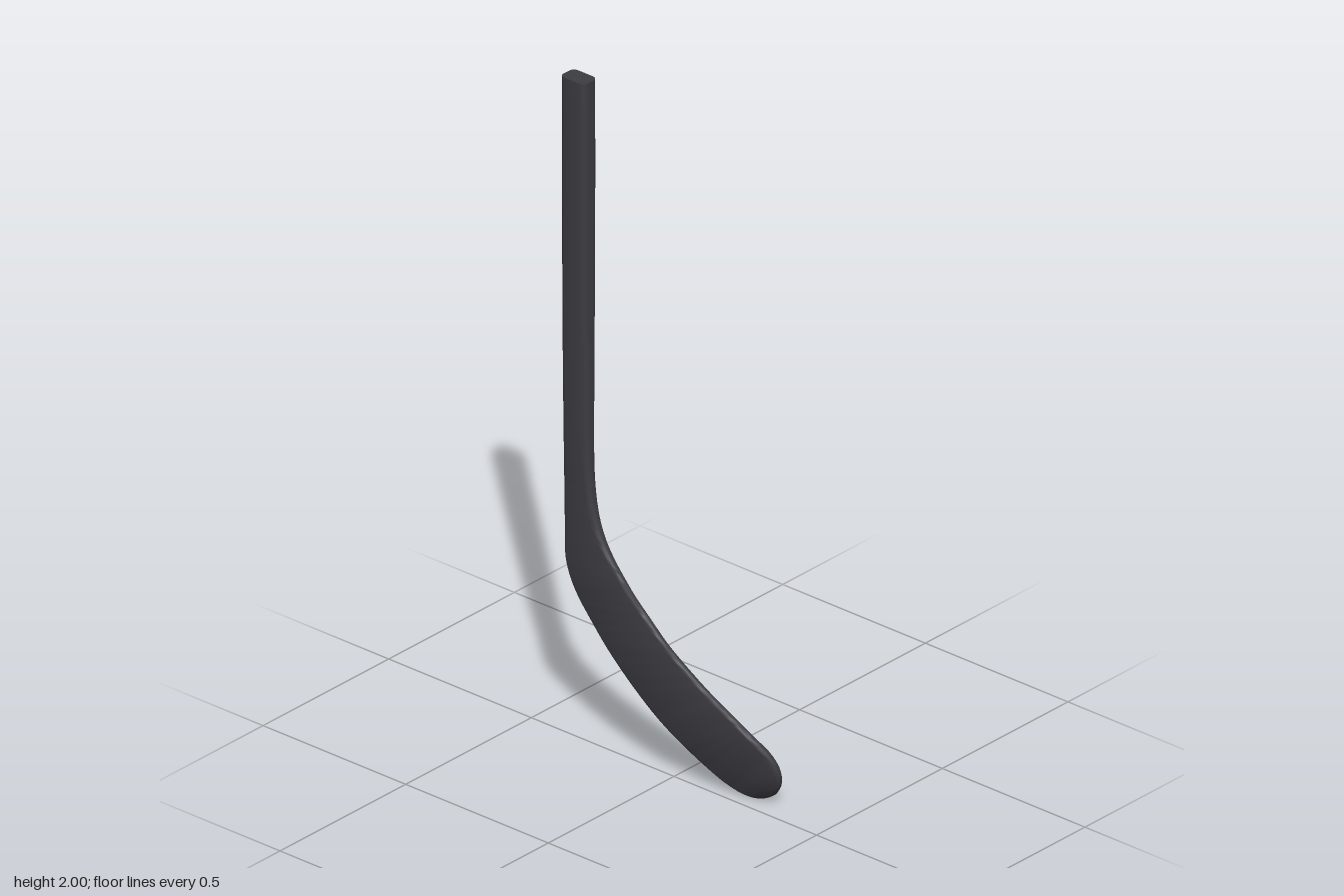
import * as THREE from 'three';
import { toCreasedNormals } from 'three/addons/utils/BufferGeometryUtils.js';

// Stations from the butt end to the toe: [heel edge x, y, z], [inner edge x, y, z], thickness
const stations = [
  [[-0.33, 2, 0.053], [-0.245, 2, 0.053], 0.055],
  [[-0.33, 1.6, 0.053], [-0.245, 1.6, 0.053], 0.055],
  [[-0.33, 1.2, 0.053], [-0.245, 1.2, 0.053], 0.05],
  [[-0.33, 0.92, 0.053], [-0.243, 0.92, 0.053], 0.042],
  [[-0.33, 0.79, 0.053], [-0.236, 0.8, 0.053], 0.037],
  [[-0.33, 0.68, 0.053], [-0.22, 0.712, 0.053], 0.033],
  [[-0.33, 0.61, 0.053], [-0.196, 0.65, 0.053], 0.029],
  [[-0.328, 0.56, 0.053], [-0.165, 0.602, 0.053], 0.026],
  [[-0.313, 0.51, 0.053], [-0.13, 0.56, 0.053], 0.024],
  [[-0.285, 0.46, 0.053], [-0.09, 0.515, 0.052], 0.023],
  [[-0.24, 0.402, 0.052], [-0.04, 0.465, 0.048], 0.022],
  [[-0.18, 0.333, 0.051], [0.02, 0.406, 0.043], 0.022],
  [[-0.1, 0.25, 0.044], [0.09, 0.345, 0.031], 0.022],
  [[-0.02, 0.172, 0.03], [0.16, 0.288, 0.017], 0.022],
  [[0.06, 0.102, 0.006], [0.22, 0.24, 0.001], 0.023],
  [[0.13, 0.046, -0.019], [0.27, 0.197, -0.014], 0.024],
  [[0.165, 0.022, -0.033], [0.304, 0.162, -0.03], 0.025],
  [[0.2, 0.006, -0.045], [0.325, 0.125, -0.042], 0.026],
  [[0.235, 0, -0.057], [0.33, 0.09, -0.051], 0.025],
  [[0.27, 0.009, -0.066], [0.323, 0.06, -0.059], 0.022],
  [[0.296, 0.024, -0.067], [0.31, 0.038, -0.064], 0.014],
];
const LAST = stations.length - 1;
const STEPS = 4; // rings per station
const spline = (pts) => new THREE.CatmullRomCurve3(pts, false, 'catmullrom');
const heelEdge = spline(stations.map((s) => new THREE.Vector3(...s[0])));
const innerEdge = spline(stations.map((s) => new THREE.Vector3(...s[1])));
const thickness = spline(stations.map((s) => new THREE.Vector3(s[2], 0, 0)));
const middle = (u) => heelEdge.getPoint(u).lerp(innerEdge.getPoint(u), 0.5);

// Rounded-rectangle cross-section at u, counter-clockwise about the direction of travel
function section(u) {
  const centre = middle(u);
  const across = innerEdge.getPoint(u).sub(heelEdge.getPoint(u));
  const width = across.length();
  across.normalize();
  const along = middle(Math.min(u + 0.004, 1)).sub(middle(Math.max(u - 0.004, 0)));
  const normal = along.cross(across).normalize();
  const t = thickness.getPoint(u).x;
  const r = Math.min(0.015, t * 0.45, width * 0.45);
  const ring = [];
  for (let c = 0; c < 4; c++) {
    const sx = c === 0 || c === 3 ? 1 : -1;
    const sy = c < 2 ? 1 : -1;
    for (let k = 0; k < 4; k++) {
      const a = (c + k / 3) * Math.PI / 2;
      ring.push(centre.clone()
        .addScaledVector(across, sx * (width / 2 - r) + r * Math.cos(a))
        .addScaledVector(normal, sy * (t / 2 - r) + r * Math.sin(a)));
    }
  }
  return ring;
}

// Skin the sections between two stations, closing the outer ends
function loft(from, to) {
  const positions = [];
  const index = [];
  const n = 16;
  const rings = (to - from) * STEPS;
  for (let i = 0; i <= rings; i++) {
    for (const p of section((from + i / STEPS) / LAST)) positions.push(p.x, p.y, p.z);
  }
  for (let i = 0; i < rings; i++) {
    for (let j = 0; j < n; j++) {
      const a = i * n + j;
      const b = i * n + (j + 1) % n;
      index.push(a, b, a + n, b, b + n, a + n);
    }
  }
  const end = rings * n;
  for (let j = 1; j < n - 1; j++) {
    if (from === 0) index.push(0, j + 1, j);
    if (to === LAST) index.push(end, end + j, end + j + 1);
  }
  const geometry = new THREE.BufferGeometry();
  geometry.setAttribute('position', new THREE.Float32BufferAttribute(positions, 3));
  geometry.setIndex(index);
  return toCreasedNormals(geometry, 0.75);
}

export function createModel() {
  const group = new THREE.Group();
  group.name = 'hockeyStick';
  const material = new THREE.MeshStandardMaterial({ color: 0x3c3c42 });
  const add = (name, from, to) => {
    const mesh = new THREE.Mesh(loft(from, to), material);
    mesh.name = name;
    group.add(mesh);
  };
  add('shaft', 0, 4);
  add('blade', 4, LAST);
  return group;
}
